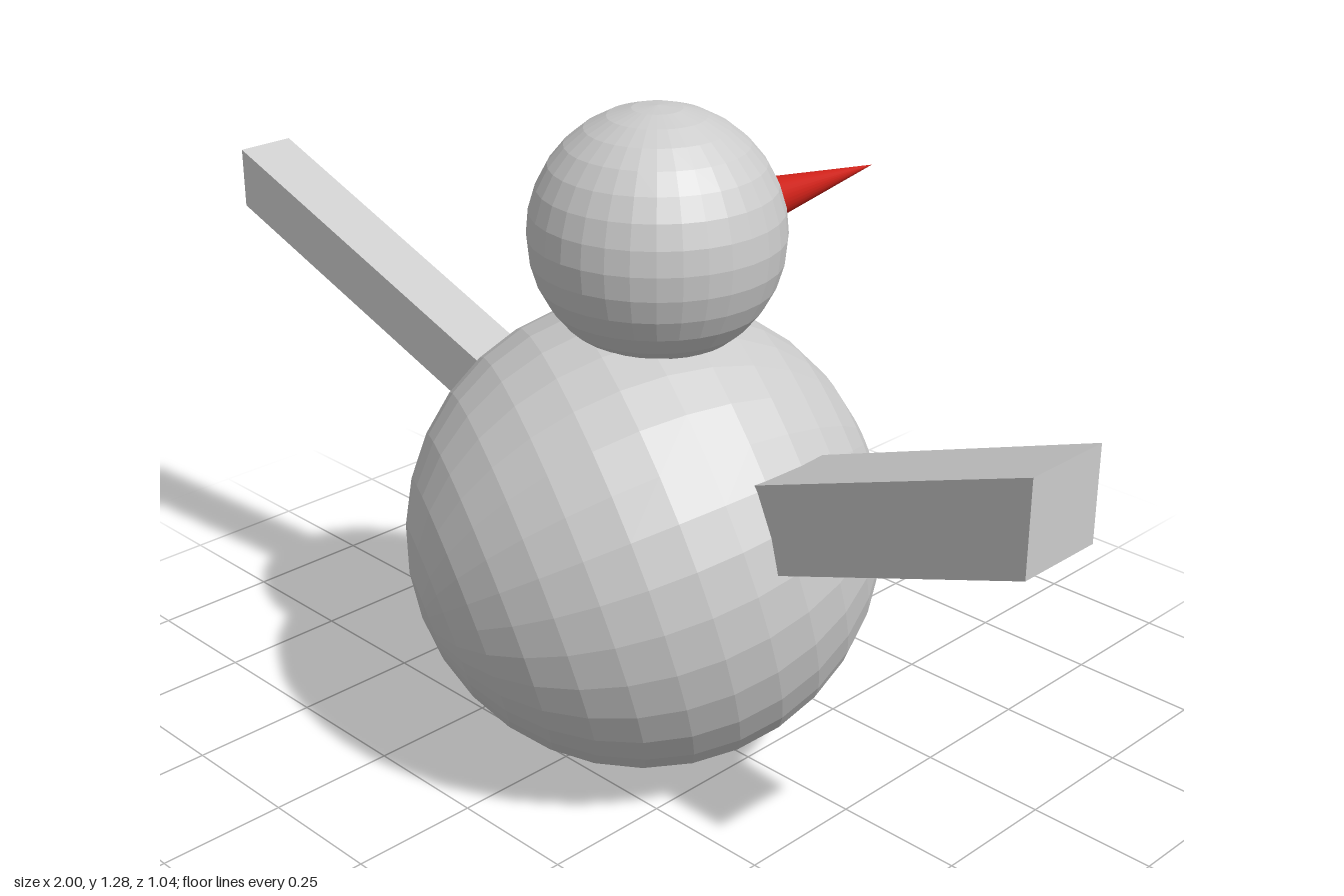
import * as THREE from 'three';

const grey = new THREE.MeshStandardMaterial({ color: 0xcccccc, flatShading: true });
const red = new THREE.MeshStandardMaterial({ color: 0xcc2018 });

function addMesh(group, name, geometry, material) {
  const mesh = new THREE.Mesh(geometry, material);
  mesh.name = name;
  group.add(mesh);
  return mesh;
}

// Square bar sheared so both ends stay upright; a and b are end centres, a.x < b.x
function shearedBar(a, b, height, depth) {
  const geometry = new THREE.BoxGeometry(1, height, depth);
  const pos = geometry.attributes.position;
  const centre = new THREE.Vector3();
  for (let i = 0; i < pos.count; i++) {
    centre.lerpVectors(a, b, pos.getX(i) + 0.5);
    pos.setXYZ(i, centre.x, pos.getY(i) + centre.y, pos.getZ(i) + centre.z);
  }
  geometry.computeVertexNormals();
  return geometry;
}

export function createModel() {
  const model = new THREE.Group();
  model.name = 'snowman';

  // Body ball, its pole tipped forward and down
  const body = addMesh(model, 'body', new THREE.SphereGeometry(0.45, 32, 16), grey);
  body.position.set(0.04, 0.45, 0.075);
  body.quaternion.setFromUnitVectors(
    new THREE.Vector3(0, 1, 0),
    new THREE.Vector3(0.2, 0.12, -0.385).normalize()
  );

  // Head ball
  const head = addMesh(model, 'head', new THREE.SphereGeometry(0.234, 32, 16), grey);
  head.position.set(0.07, 1.05, 0.07);

  // Long pointed nose, base sunk into the head
  const nose = addMesh(model, 'nose', new THREE.ConeGeometry(0.058, 0.42, 32), red);
  nose.rotation.x = -Math.PI / 2;
  nose.position.set(0.07, 1.045, -0.31);

  // Raised arms, inner ends sunk into the body
  const leftArm = shearedBar(
    new THREE.Vector3(0.25, 0.55, 0.066), new THREE.Vector3(1, 0.842, 0.116), 0.175, 0.176);
  addMesh(model, 'leftArm', leftArm, grey);
  const rightArm = shearedBar(
    new THREE.Vector3(-1, 0.94, 0.157), new THREE.Vector3(-0.2, 0.563, 0.064), 0.12, 0.118);
  addMesh(model, 'rightArm', rightArm, grey);

  return model;
}
